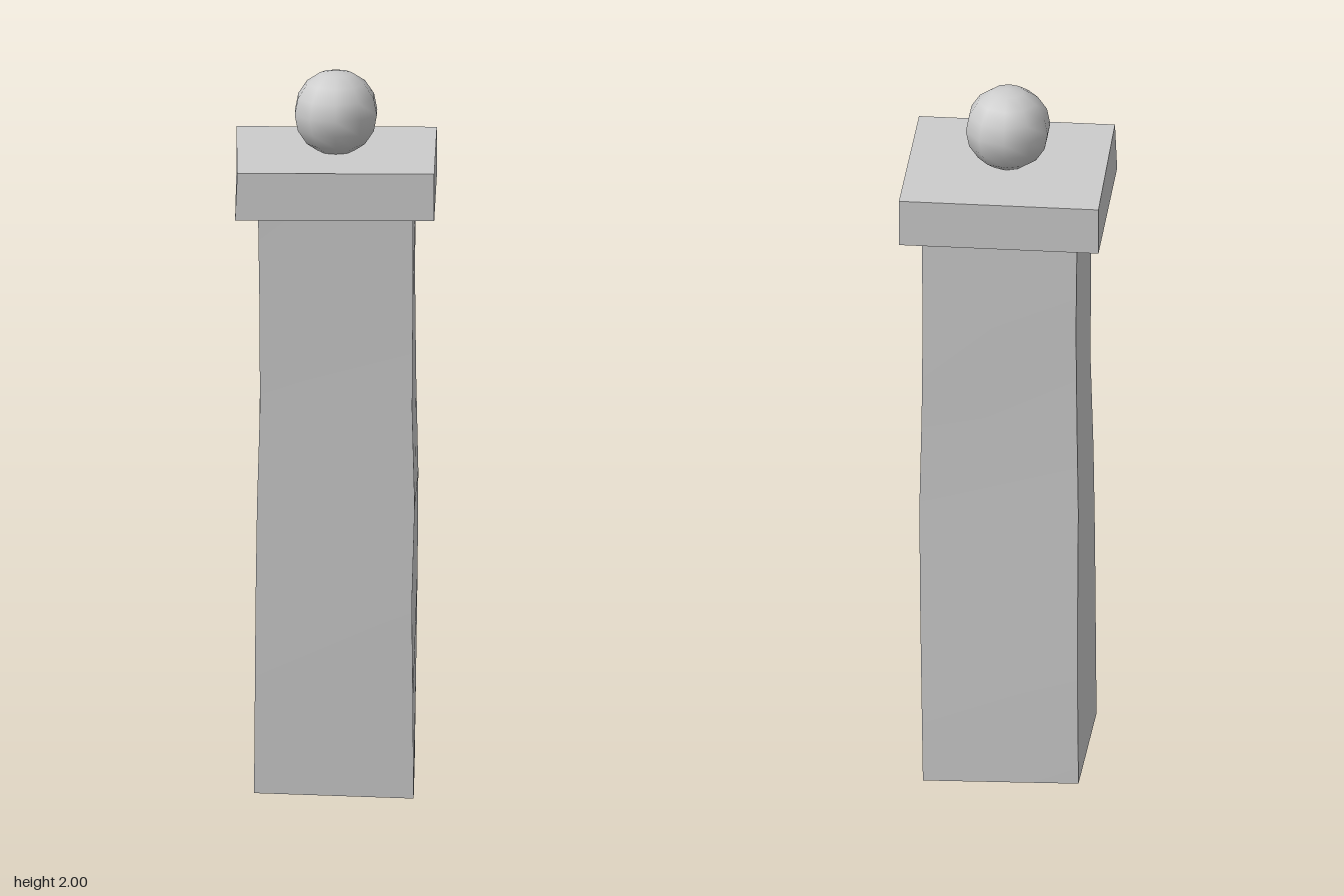
import * as THREE from 'three';

const stone = new THREE.MeshStandardMaterial({ color: 0xcccccc });
stone.name = 'pale stone';

function part(name, geometry) {
  const mesh = new THREE.Mesh(geometry, stone);
  mesh.name = name;
  return mesh;
}

// Shaft corner positions [x, z] at each level, from the foot to the cap
const HEIGHT = 1.65;
const corners = {
  frontLeft: [[0.217, 0.213], [0.215, 0.213], [0.212, 0.216], [0.22, 0.215], [0.213, 0.216], [0.215, 0.218], [0.215, 0.219]],
  frontRight: [[-0.219, 0.217], [-0.217, 0.217], [-0.215, 0.215], [-0.211, 0.214], [-0.203, 0.212], [-0.204, 0.216], [-0.208, 0.22]],
  backLeft: [[0.214, -0.215], [0.218, -0.215], [0.222, -0.213], [0.224, -0.21], [0.218, -0.209], [0.215, -0.213], [0.217, -0.214]],
  backRight: [[-0.213, -0.214], [-0.211, -0.217], [-0.211, -0.215], [-0.212, -0.208], [-0.208, -0.207], [-0.206, -0.213], [-0.209, -0.214]],
};
const footHeight = { frontLeft: 0.005, frontRight: 0.02, backLeft: 0, backRight: 0.01 };

// Roughly hewn square shaft: a box whose corners wander slightly
function shaftGeometry() {
  const levels = corners.frontLeft.length - 1;
  const geometry = new THREE.BoxGeometry(1, 1, 1, 1, levels, 1);
  const p = geometry.attributes.position;
  for (let i = 0; i < p.count; i++) {
    const key = (p.getZ(i) > 0 ? 'front' : 'back') + (p.getX(i) > 0 ? 'Left' : 'Right');
    const level = Math.round((p.getY(i) + 0.5) * levels);
    const [x, z] = corners[key][level];
    const y = level === 0 ? footHeight[key] : (HEIGHT * level) / levels;
    p.setXYZ(i, x, y, z);
  }
  geometry.computeVertexNormals();
  return geometry;
}

// Square cap slab with one side slightly out of true
function capGeometry() {
  const geometry = new THREE.BoxGeometry(0.548, 0.132, 0.547);
  geometry.translate(0, 1.709, -0.001);
  const p = geometry.attributes.position;
  for (let i = 0; i < p.count; i++) {
    if (p.getX(i) < 0 && p.getZ(i) > 0) p.setX(i, p.getY(i) > 1.709 ? -0.264 : -0.27);
  }
  geometry.computeVertexNormals();
  return geometry;
}

export function createModel() {
  const model = new THREE.Group();
  model.name = 'stonePillar';
  model.add(part('shaft', shaftGeometry()), part('cap', capGeometry()));

  // Ball finial resting on the cap
  const ball = part('ballFinial', new THREE.SphereGeometry(0.118, 10, 8));
  ball.rotation.y = Math.PI / 2;
  ball.position.set(0.002, 1.882, 0);
  model.add(ball);
  return model;
}
